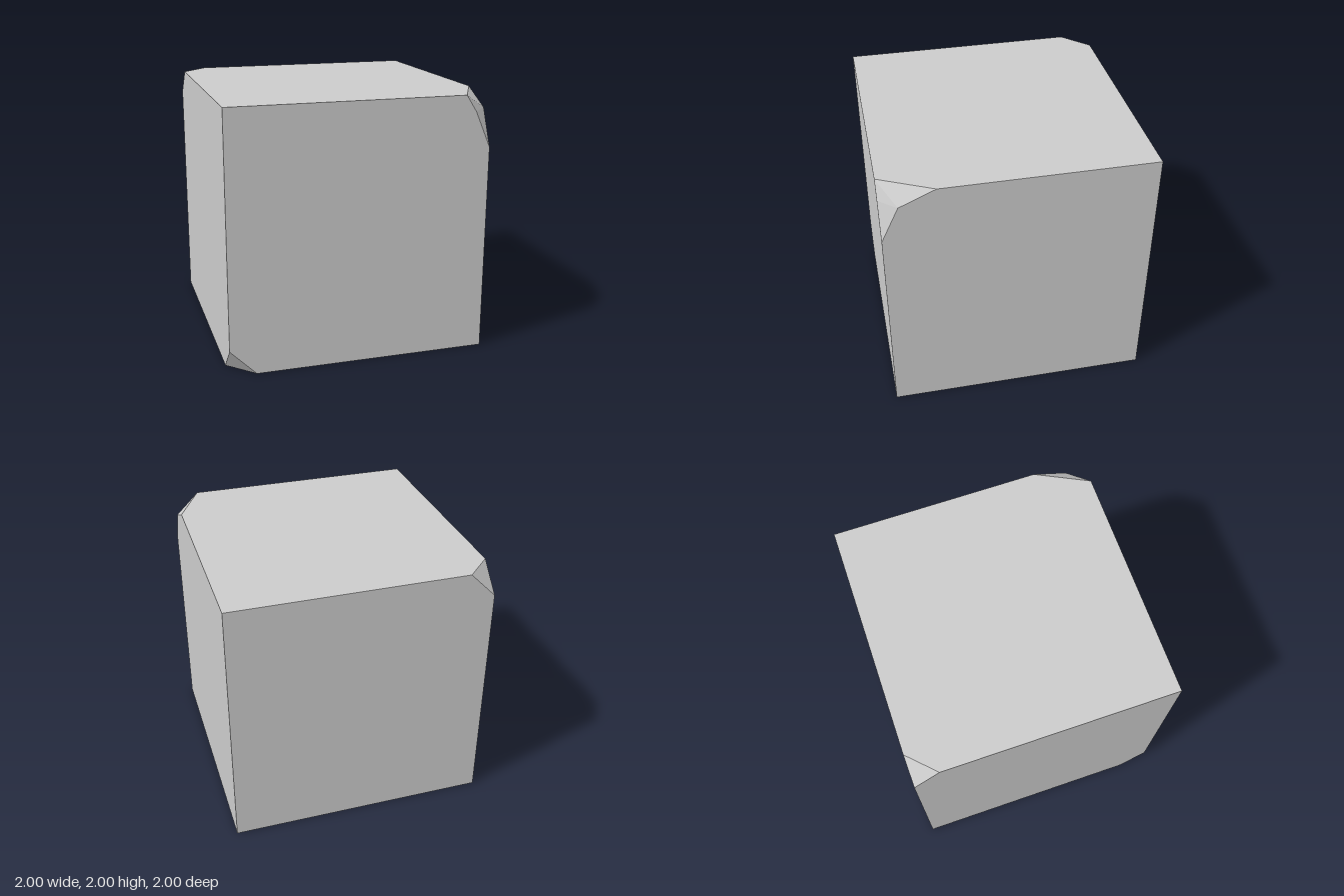
import * as THREE from 'three';
import { ConvexGeometry } from 'three/addons/geometries/ConvexGeometry.js';

export function createModel() {
  const group = new THREE.Group();
  const points = [];

  // Chipped corners, keyed by the cube corner; each chip is a list of
  // inward distances from that corner along x, y and z.
  const smallChip = [[0.2, 0, 0], [0, 0.2, 0], [0, 0, 0.2]];
  const largeChip = [
    [0.2, 0, 0], [0, 0.4, 0], [0, 0, 0.4], // ends on the three edges
    [0.12, 0.125, 0], [0, 0.12, 0.13], // bends on the front and side faces
  ];
  const chips = {
    '-1,0,1': smallChip,
    '-1,2,-1': smallChip,
    '1,2,1': largeChip,
  };

  for (const x of [-1, 1]) for (const y of [0, 2]) for (const z of [-1, 1]) {
    const chip = chips[[x, y, z].join()] || [[0, 0, 0]];
    for (const [a, b, c] of chip) {
      points.push(new THREE.Vector3(x - x * a, y + (y ? -b : b), z - z * c));
    }
  }

  // Solid cube with flat facets at the chips
  const material = new THREE.MeshStandardMaterial({ color: 0xcccccc, flatShading: true });
  const cube = new THREE.Mesh(new ConvexGeometry(points), material);
  cube.name = 'chippedCube';
  group.add(cube);
  return group;
}
